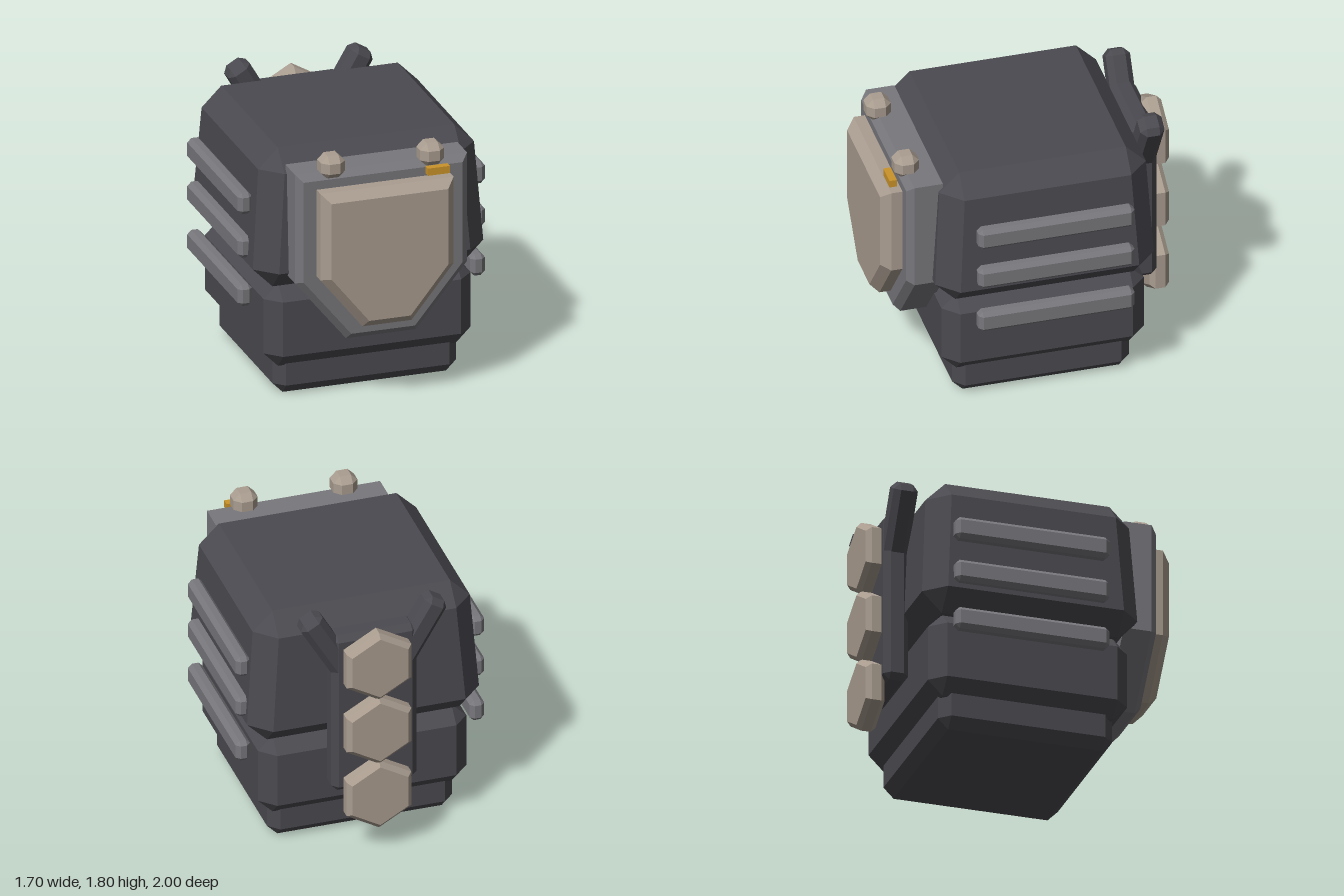
import * as THREE from 'three';
import { ConvexGeometry } from 'three/addons/geometries/ConvexGeometry.js';

const material = (name, color) => {
  const m = new THREE.MeshStandardMaterial({ color, flatShading: true });
  m.name = name;
  return m;
};

// Box with every edge cut by c; the top half-sizes may differ from the bottom ones.
function chamferBox(w, h, d, c, topW = w, topD = d) {
  const pts = [];
  for (const sy of [-1, 1]) {
    const x = (sy > 0 ? topW : w) / 2, z = (sy > 0 ? topD : d) / 2, y = h / 2;
    for (const sx of [-1, 1]) for (const sz of [-1, 1]) {
      pts.push(
        new THREE.Vector3(sx * x, sy * (y - c), sz * (z - c)),
        new THREE.Vector3(sx * (x - c), sy * (y - c), sz * z),
        new THREE.Vector3(sx * (x - c), sy * y, sz * (z - c)));
    }
  }
  return new ConvexGeometry(pts);
}

// Convex plate from outlines stacked along z: each ring is [points, z].
function stackedPlate(rings) {
  const pts = [];
  for (const [outline, z] of rings)
    for (const [x, y] of outline) pts.push(new THREE.Vector3(x, y, z));
  return new ConvexGeometry(pts);
}

// Completes a half outline with its mirror image.
const mirrored = (half) => [...half, ...half.map(([x, y]) => [-x, y])];

export function createModel() {
  const dark = material('charcoal armour', 0x4b4a50);
  const grey = material('grey trim', 0x78777c);
  const tan = material('tan plating', 0xaa9d90);
  const amber = material('amber light', 0xcb942a);

  const model = new THREE.Group();
  model.name = 'armouredTorso';
  const add = (name, geometry, mat, x = 0, y = 0, z = 0) => {
    const mesh = new THREE.Mesh(geometry, mat);
    mesh.name = name;
    mesh.position.set(x, y, z);
    model.add(mesh);
    return mesh;
  };

  // Body blocks
  add('hips', chamferBox(1.26, 0.32, 1.19, 0.07), dark, 0, 0.16, -0.035);
  add('waist', chamferBox(1.42, 0.58, 1.36, 0.1), dark, 0, 0.5, -0.035);
  add('chest', chamferBox(1.58, 0.95, 1.47, 0.135, 1.48, 1.39), dark, 0, 1.255, -0.035);

  // Layered chest plates
  const outer = mirrored([[0.59, 1.65], [0.59, 0.89], [0.24, 0.46]]);
  const outerInset = mirrored([[0.545, 1.605], [0.545, 0.906], [0.218, 0.505]]);
  add('chestPlate', stackedPlate([[outer, 0.63], [outer, 0.82], [outerInset, 0.865]]), grey);
  const inner = mirrored([[0.457, 1.545], [0.457, 0.94], [0.168, 0.58]]);
  const innerInset = mirrored([[0.4, 1.488], [0.4, 0.96], [0.142, 0.637]]);
  add('chestPanel', stackedPlate([[inner, 0.85], [inner, 0.94], [innerInset, 1]]), tan);

  // Shoulder clasps and indicator
  for (const s of [-1, 1])
    add(s > 0 ? 'leftClasp' : 'rightClasp', chamferBox(0.165, 0.16, 0.165, 0.045), tan, s * 0.34, 1.685, 0.815);
  add('indicatorLight', new THREE.BoxGeometry(0.152, 0.05, 0.05), amber, 0.355, 1.6, 0.92);

  // Side ribs
  for (const s of [-1, 1])
    for (const y of [1.328, 1.023, 0.685])
      add('sideRib', chamferBox(0.1, 0.15, 1.05, 0.028), grey, s * 0.798, y, -0.07);

  // Back spine slab with two arms leaning outwards
  add('backSlab', chamferBox(0.58, 1.18, 0.17, 0.04), dark, 0, 1.04, -0.815);
  for (const s of [-1, 1]) {
    const arm = add(s > 0 ? 'leftBackArm' : 'rightBackArm',
      chamferBox(0.17, 0.58, 0.164, 0.04), dark, s * 0.295, 1.525, -0.815);
    arm.rotation.z = -s * 0.53;
  }

  // Hexagonal back plates
  const hex = (r) => Array.from({ length: 6 }, (_, i) => {
    const a = (i * Math.PI) / 3;
    return [r * Math.sin(a), r * Math.cos(a)];
  });
  const hexPlate = stackedPlate([
    [hex(0.22), -0.065], [hex(0.255), -0.033], [hex(0.255), 0.033], [hex(0.22), 0.065]]);
  for (const y of [1.41, 0.922, 0.435]) add('backHexPlate', hexPlate, tan, 0, y, -0.935);

  return model;
}
